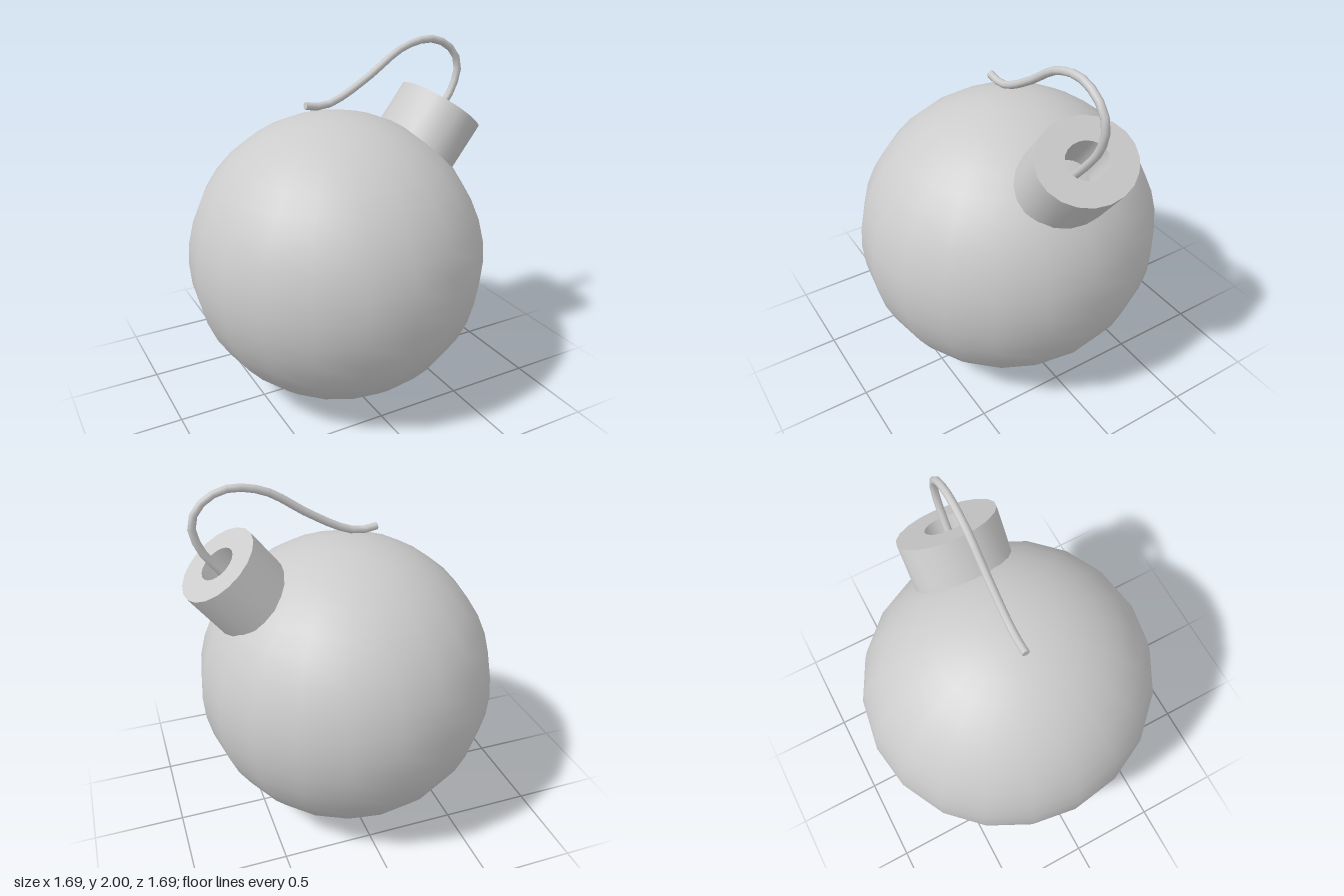
import * as THREE from 'three';
import { toCreasedNormals } from 'three/addons/utils/BufferGeometryUtils.js';

export function createModel() {
  const model = new THREE.Group();
  const material = new THREE.MeshStandardMaterial({ color: 0xcccccc });

  const add = (name, geometry, parent = model) => {
    const mesh = new THREE.Mesh(geometry, material);
    mesh.name = name;
    parent.add(mesh);
    return mesh;
  };

  // Round body, very slightly squashed
  const body = add('body', new THREE.SphereGeometry(1, 20, 20));
  body.scale.set(0.826, 0.813, 0.847);
  body.position.set(-0.023, 0.815, 0);

  // Tilted oval neck with a central hole; its foot is sunk into the body
  const profile = [[0.281, -0.34], [0.281, 0], [0.122, 0], [0.122, -0.3]]
    .map(([r, y]) => new THREE.Vector2(r, y));
  const neck = add('neck', toCreasedNormals(new THREE.LatheGeometry(profile, 20), 0.6));
  neck.position.set(0.658, 1.6, 0);
  neck.rotation.z = -0.655;
  neck.scale.x = 0.82;

  // Fuse curling out of the hole and back over the body
  const path = new THREE.CatmullRomCurve3([
    [0.54, 1.44], [0.66, 1.58], [0.735, 1.69], [0.765, 1.81], [0.735, 1.89],
    [0.665, 1.95], [0.56, 1.98], [0.39, 1.945], [0.18, 1.81], [0, 1.71],
    [-0.1, 1.68], [-0.2, 1.692],
  ].map(([x, y]) => new THREE.Vector3(x, y, 0)));
  const fuse = new THREE.Group();
  fuse.name = 'fuse';
  model.add(fuse);
  const fuseRadius = 0.021;
  add('fuseCord', new THREE.TubeGeometry(path, 22, fuseRadius, 8), fuse);

  // Flat end of the fuse
  const tip = add('fuseTip', new THREE.CircleGeometry(fuseRadius, 8), fuse);
  tip.position.copy(path.getPointAt(1));
  tip.quaternion.setFromUnitVectors(new THREE.Vector3(0, 0, 1), path.getTangentAt(1));

  return model;
}
